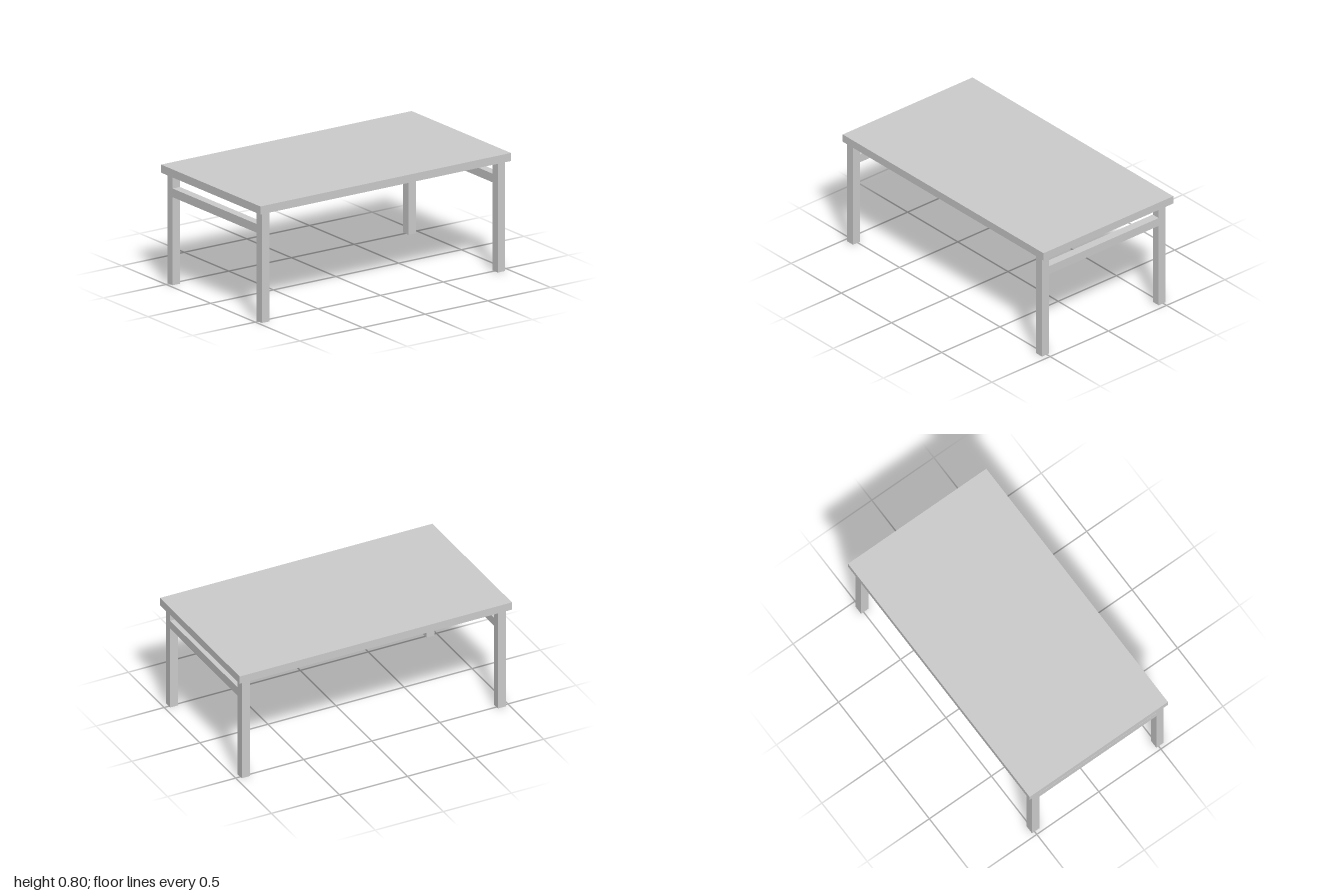
import * as THREE from 'three';

export function createModel() {
  const table = new THREE.Group();
  table.name = 'table';
  const material = new THREE.MeshStandardMaterial({ color: 0xcccccc, flatShading: true });

  const addBox = (parent, name, [w, h, d], [x, y, z]) => {
    const mesh = new THREE.Mesh(new THREE.BoxGeometry(w, h, d), material);
    mesh.name = name;
    mesh.position.set(x, y, z);
    parent.add(mesh);
  };

  // Flat slab top
  const underside = 0.748, topHeight = 0.803;
  addBox(table, 'tabletop', [2, topHeight - underside, 1.114], [0, (topHeight + underside) / 2, 0]);

  // End frames: two square legs joined by a flush rail, set slightly off centre
  const legWidth = 0.059, frontZ = 0.511, backZ = -0.491;
  for (const [side, x] of [['left', 0.936], ['right', -0.946]]) {
    const frame = new THREE.Group();
    frame.name = `${side}EndFrame`;
    frame.position.x = x;
    addBox(frame, 'frontLeg', [legWidth, underside, legWidth], [0, underside / 2, frontZ]);
    addBox(frame, 'backLeg', [legWidth, underside, legWidth], [0, underside / 2, backZ]);
    addBox(frame, 'rail', [legWidth, legWidth, frontZ - backZ - legWidth], [0, 0.63, (frontZ + backZ) / 2]);
    table.add(frame);
  }
  return table;
}
